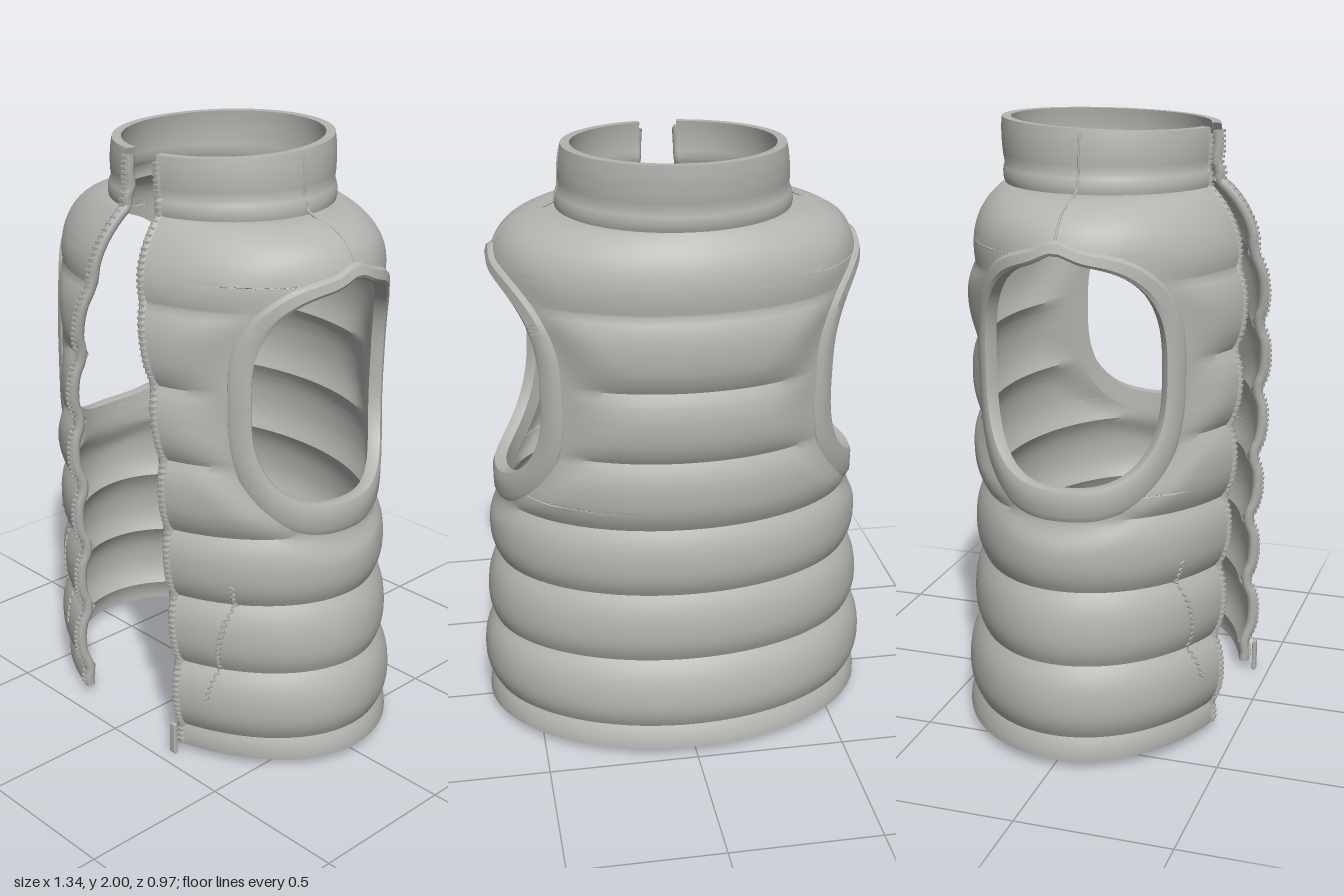
import * as THREE from 'three';
import { mergeGeometries, toCreasedNormals } from 'three/addons/utils/BufferGeometryUtils.js';
import { RoundedBoxGeometry } from 'three/addons/geometries/RoundedBoxGeometry.js';

// Seam levels: y, half width, front depth, back depth, half opening, puff above this seam
const SEAMS = [
  [0.03, 0.66, 0.455, 0.482, 0.24, 0.005],
  [0.105, 0.643, 0.45, 0.457, 0.235, 0.034],
  [0.345, 0.63, 0.45, 0.428, 0.228, 0.03],
  [0.585, 0.608, 0.455, 0.418, 0.213, 0.03],
  [0.82, 0.6, 0.468, 0.414, 0.205, 0.03],
  [1.06, 0.6, 0.478, 0.423, 0.2, 0.03],
  [1.3, 0.6, 0.475, 0.43, 0.17, 0.03],
  [1.55, 0.6, 0.456, 0.433, 0.115, 0.008],
  [1.79, 0.38, 0.345, 0.357, 0.07, 0.006],
  [1.85, 0.368, 0.338, 0.36, 0.062, 0.005],
  [1.985, 0.357, 0.338, 0.37, 0.055, 0],
];
const SHOULDER = 7, COLLAR = 8;
const HOLE = { y: 1.2625, z: 0.018, h: 0.3475, w: 0.29, n: 2.8 };
const lerp = THREE.MathUtils.lerp;

// Smooth outline and puff height at one level
function profile(y) {
  let i = 0;
  while (i < SEAMS.length - 2 && y > SEAMS[i + 1][0]) i++;
  const A = SEAMS[i], B = SEAMS[i + 1];
  const t = THREE.MathUtils.clamp((y - A[0]) / (B[0] - A[0]), 0, 1);
  const s = i === SHOULDER ? [1 - Math.sqrt(1 - t ** 3), t * t, t ** 3] : [t, t, t];
  return {
    a: lerp(A[1], B[1], s[0]), bf: lerp(A[2], B[2], s[1]), bb: lerp(A[3], B[3], s[2]),
    gap: lerp(A[4], B[4], t), puff: A[5] * (1 - Math.abs(2 * t - 1) ** 2.4),
  };
}

// Point on the garment: angle from the front (+z) towards +x, level and offset
function surface(angle, y, off = 0, puffy = true) {
  const p = profile(y), c = Math.cos(angle), b = c > 0 ? p.bf : p.bb;
  const d = Math.hypot((b * c - HOLE.z) / (HOLE.w + 0.03), (y - HOLE.y) / (HOLE.h + 0.06));
  const o = off + (puffy ? p.puff * THREE.MathUtils.smoothstep(d, 1.05, 1.35) : 0);
  const z = (b + o) * c;
  const tilt = y > 1.85 ? -0.033 * z * (y - 1.85) / 0.135 : 0;
  return new THREE.Vector3((p.a + o) * Math.sin(angle), y + tilt, z);
}

const angleAtZ = (z, y) => {
  const p = profile(y);
  return Math.acos(THREE.MathUtils.clamp(z / (z > 0 ? p.bf : p.bb), -1, 1));
};
const openAngle = (y, extra = 0.012) => {
  const p = profile(y);
  return Math.asin((p.gap + extra) / p.a);
};

// Armhole cut, slightly larger than the binding's inner edge
function armAngle(y, side) {
  const t = Math.abs((y - HOLE.y) / (HOLE.h + 0.025));
  const w = t < 1 ? (HOLE.w + 0.02) * (1 - t ** HOLE.n) ** (1 / HOLE.n) : 0;
  return angleAtZ(HOLE.z + side * w, y);
}

// Grid of points fn(column, row) with outward order
function grid(nu, nv, fn) {
  const pos = [], idx = [];
  for (let j = 0; j <= nv; j++) for (let i = 0; i <= nu; i++) pos.push(...fn(i, j).toArray());
  for (let j = 0; j < nv; j++) for (let i = 0; i < nu; i++) {
    const k = j * (nu + 1) + i, m = k + nu + 1;
    idx.push(k, k + 1, m + 1, k, m + 1, m);
  }
  const g = new THREE.BufferGeometry();
  g.setAttribute('position', new THREE.Float32BufferAttribute(pos, 3));
  g.setIndex(idx);
  return g;
}

// Sample levels between two seams
function levels(from, to) {
  const ys = [];
  for (let i = from; i < to; i++) {
    const n = i === 0 || i >= COLLAR ? 5 : i === SHOULDER ? 18 : 12;
    for (let k = 0; k < n; k++) {
      const t = i === SHOULDER ? Math.sin(k / n * Math.PI / 2) : k / n;
      ys.push(lerp(SEAMS[i][0], SEAMS[i + 1][0], t));
    }
  }
  ys.push(SEAMS[to][0]);
  return ys;
}

// Closed double skin made of two front panels and a back panel
function shell(ys) {
  const rows = [...[...ys].reverse().map(y => [y, -0.03]), ...ys.map(y => [y, 0])];
  rows.push(rows[0]);
  const panel = (n, a0, a1) => grid(n, rows.length - 1, (i, j) => {
    const [y, off] = rows[j];
    return surface(lerp(a0(y), a1(y), i / n), y, off);
  });
  return toCreasedNormals(mergeGeometries([
    panel(16, y => openAngle(y), y => armAngle(y, 1)),
    panel(44, y => armAngle(y, -1), y => 2 * Math.PI - armAngle(y, -1)),
    panel(16, y => -armAngle(y, 1), y => -openAngle(y)),
  ]), 0.7);
}

// Flat binding around an armhole, with a small peak at the shoulder seam
function armBinding(side) {
  const section = [[0.7, -0.035], [0, -0.032], [-0.04, -0.01], [0, 0.008], [0.2, 0.015], [0.8, 0.014], [1, 0.004], [1.03, -0.012]];
  const N = 160, pw = v => Math.sign(v) * Math.abs(v) ** (2 / HOLE.n);
  return toCreasedNormals(grid(N, section.length - 1, (i, j) => {
    const [r, off] = section[j], f = side * (i % N) / N * Math.PI * 2;
    const c = pw(Math.cos(f)), s = pw(Math.sin(f));
    const z = HOLE.z + (HOLE.w + r * 0.045) * c;
    let y = HOLE.y + (HOLE.h + r * (s > 0 ? 0.045 : 0.1)) * s;
    if (s > 0) y += 0.03 * Math.exp(-((z / 0.06) ** 2)) * s;
    const p = surface(angleAtZ(z, y), y, off, false);
    p.x *= side;
    return p;
  }), 0.6);
}

const tube = (pts, r, sides = 8) =>
  new THREE.TubeGeometry(new THREE.CatmullRomCurve3(pts), pts.length * 2, r, sides, false);

export function createModel() {
  const group = new THREE.Group();
  const fabric = new THREE.MeshStandardMaterial({ color: 0xb4b4b0 });
  fabric.name = 'grey fabric';
  fabric.side = THREE.DoubleSide;
  const add = (name, geo) => {
    const m = new THREE.Mesh(geo, fabric);
    m.name = name;
    group.add(m);
    return m;
  };

  // Quilted body, with extra levels where the armholes curve
  const ys = levels(0, COLLAR);
  for (let k = 0; k <= 24; k++) ys.push(HOLE.y - (HOLE.h + 0.025) * Math.cos(k / 24 * Math.PI));
  ys.sort((p, q) => p - q);
  add('quiltedBody', shell(ys.filter((y, i) => i === 0 || y - ys[i - 1] > 1e-4)));
  add('collar', shell(levels(COLLAR, SEAMS.length - 1)));

  for (const side of [1, -1]) {
    const label = side > 0 ? 'left' : 'right';
    add(label + 'ArmBinding', armBinding(side));

    // Front edge piping and zip teeth
    const edge = levels(0, SEAMS.length - 1).filter((y, i) => i % 2 === 0)
      .map(y => surface(side * openAngle(y, 0.014), y, -0.013));
    add(label + 'FrontEdge', tube(edge, 0.018));
    const teeth = [];
    for (let y = 0.05; y < 1.97; y += 0.018) {
      const p = surface(side * openAngle(y, 0.014), y, 0.003);
      teeth.push(new THREE.BoxGeometry(0.022, 0.009, 0.012).translate(p.x, p.y, p.z));
    }
    add(label + 'ZipTeeth', mergeGeometries(teeth));

    // Zigzag pocket stitching
    const stitch = [];
    for (let k = 0; k <= 40; k++) {
      const y = lerp(0.24, 0.66, k / 40);
      const x = lerp(0.36, 0.43, k / 40) + (k % 2 ? 0.007 : -0.007);
      stitch.push(surface(side * Math.asin(x / (profile(y).a + profile(y).puff)), y, 0.001));
    }
    add(label + 'PocketStitch', tube(stitch, 0.004, 5));

    // Shoulder seam running up the collar
    const seam = [];
    for (let k = 0; k <= 20; k++) {
      const y = lerp(1.67, 1.975, Math.sin(k / 20 * Math.PI / 2));
      seam.push(surface(side * Math.PI / 2, y, 0));
    }
    add(label + 'ShoulderSeam', tube(seam, 0.004, 6));
  }

  // Zip pull at the hem
  const pull = add('zipPull', new RoundedBoxGeometry(0.028, 0.115, 0.014, 3, 0.006));
  pull.position.set(0.244, 0.0585, 0.448);
  return group;
}
